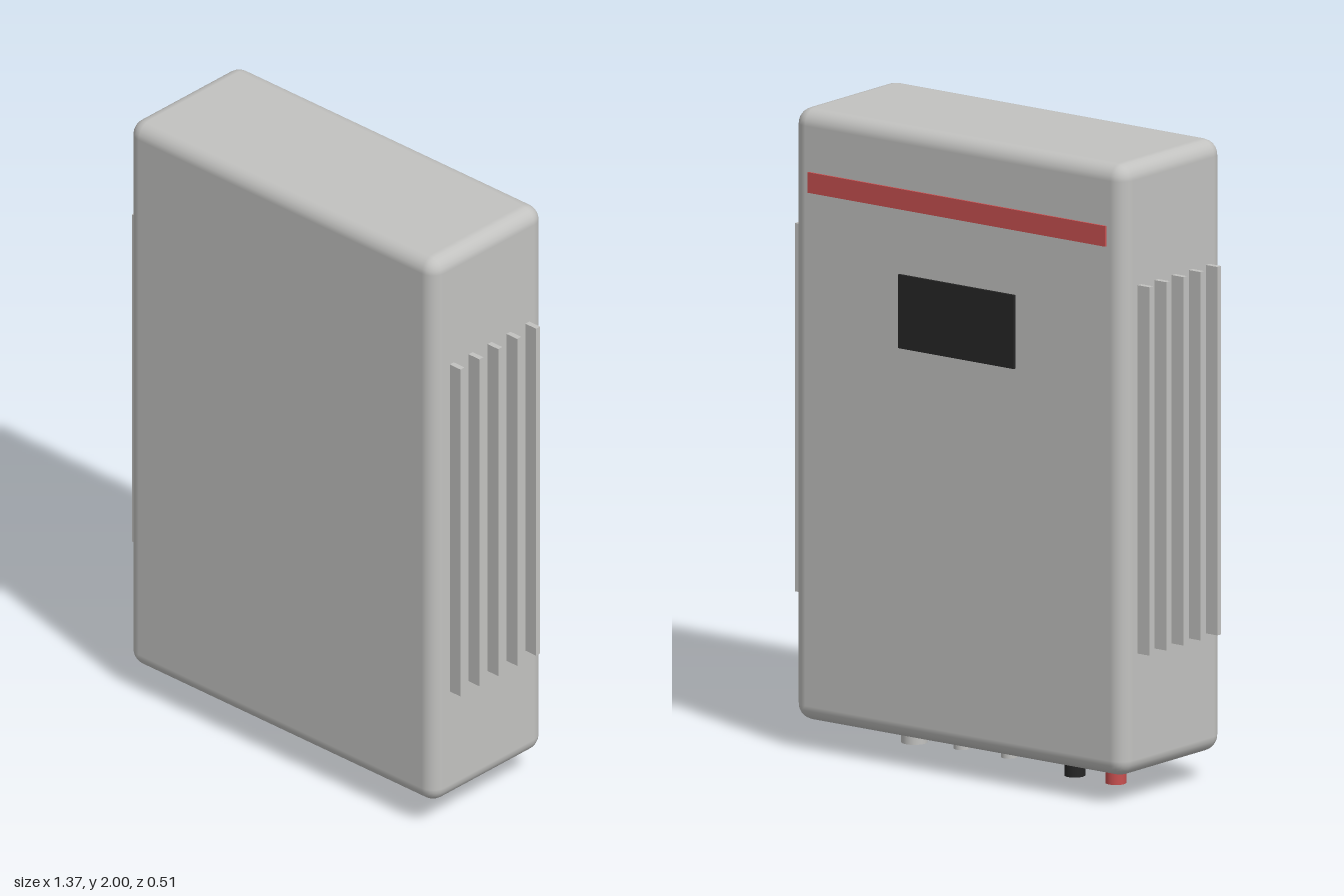
import * as THREE from 'three';
import { RoundedBoxGeometry } from 'three/addons/geometries/RoundedBoxGeometry.js';

const ZC = 0.004; // depth centre of the housing

function material(name, color) {
  const m = new THREE.MeshStandardMaterial({ color });
  m.name = name;
  return m;
}

export function createModel() {
  const group = new THREE.Group();
  group.name = 'wallInverter';
  const grey = material('casing grey', 0xc2c2c0);
  const red = material('signal red', 0xc85050);
  const black = material('display black', 0x262626);

  const add = (name, geometry, mat, x, y, z) => {
    const mesh = new THREE.Mesh(geometry, mat);
    mesh.name = name;
    mesh.position.set(x, y, z);
    group.add(mesh);
  };

  // Rounded housing
  add('housing', new RoundedBoxGeometry(1.276, 1.91, 0.497, 3, 0.05), grey, 0, 1.045, ZC);

  // Stripe and display on the -z face
  add('stripe', new THREE.BoxGeometry(1.146, 0.064, 0.009), red, 0, 1.777, -0.2465);
  add('display', new THREE.BoxGeometry(0.446, 0.23, 0.0095), black, 0, 1.427, -0.2483);

  // Five cooling fins on each side
  const finGeometry = new THREE.BoxGeometry(0.06, 1.15, 0.018);
  for (const side of [-1, 1]) {
    for (let i = -2; i <= 2; i++) {
      add('coolingFin', finGeometry, grey, side * 0.653, 1.045, ZC + i * 0.084);
    }
  }

  // Connectors under the housing: name, x, radius, bottom y, material
  const connectors = [
    ['positiveTerminal', -0.413, 0.032, 0, red],
    ['negativeTerminal', -0.255, 0.032, 0, black],
    ['cableGland', -0.002, 0.025, 0.02, grey],
    ['cableGland', 0.18, 0.025, 0.02, grey],
    ['largeCableGland', 0.363, 0.04, 0.013, grey],
    ['smallCableGland', 0.5, 0.023, 0.04, grey],
  ];
  for (const [name, x, r, bottom, mat] of connectors) {
    const h = 0.11 - bottom;
    add(name, new THREE.CylinderGeometry(r, r, h, 20), mat, x, bottom + h / 2, ZC + 0.003);
  }

  return group;
}
